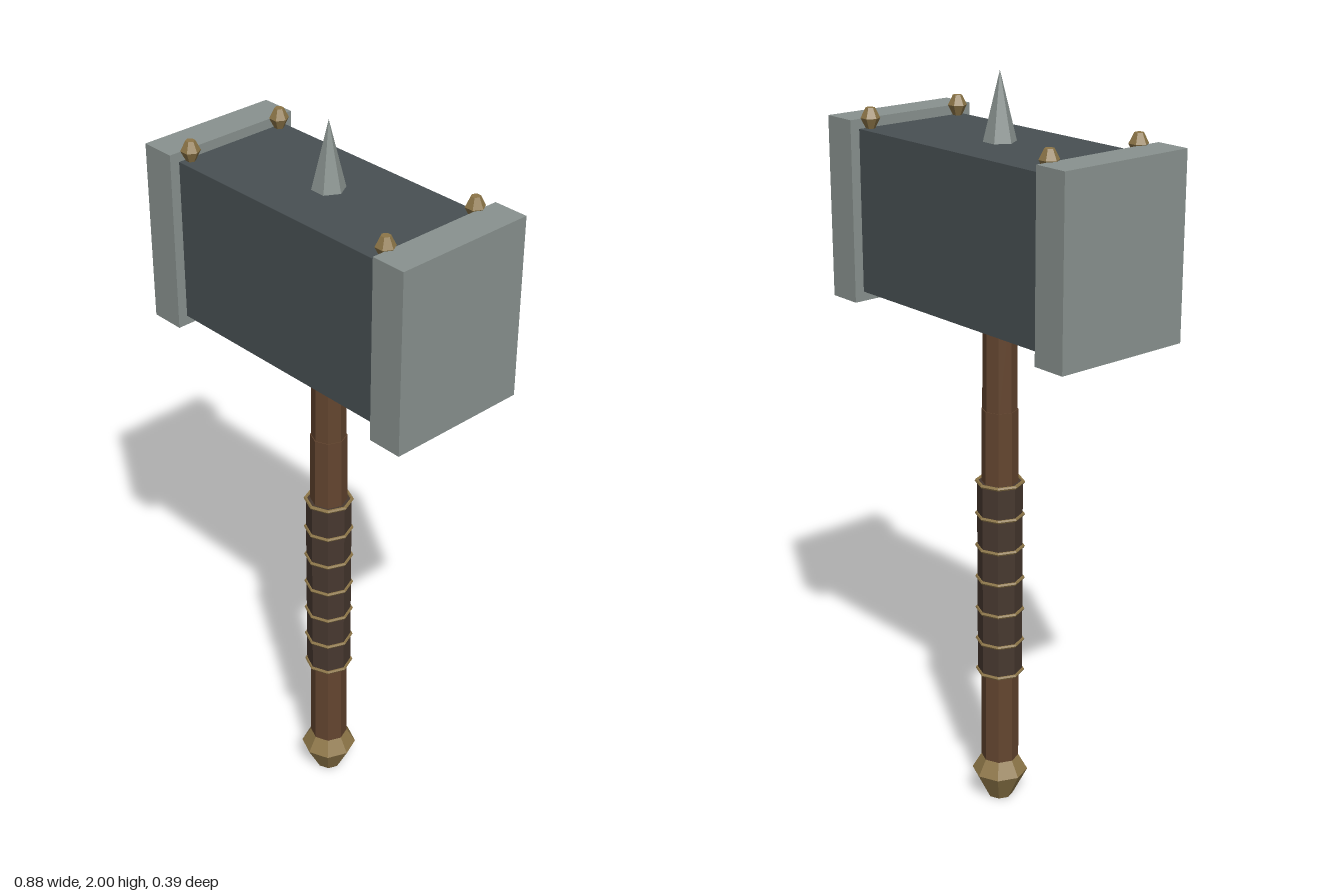
import * as THREE from 'three';

const mat = (name, color) => {
  const m = new THREE.MeshStandardMaterial({ color });
  m.name = name;
  return m;
};

// Split the faces so that each one is shaded flat
function faceted(geometry) {
  const g = geometry.index ? geometry.toNonIndexed() : geometry;
  g.computeVertexNormals();
  return g;
}

const lathe = (profile, sides) =>
  new THREE.LatheGeometry(profile.map(([r, y]) => new THREE.Vector2(r, y)), sides);

export function createModel() {
  const model = new THREE.Group();
  model.name = 'warHammer';

  const iron = mat('dark iron', 0x485053);
  const steel = mat('pale steel', 0x89928f);
  const wood = mat('brown wood', 0x63452f);
  const leather = mat('dark leather', 0x47382f);
  const brass = mat('aged brass', 0x8d7648);

  const add = (name, geometry, material, x = 0, y = 0, z = 0) => {
    const mesh = new THREE.Mesh(faceted(geometry), material);
    mesh.name = name;
    mesh.position.set(x, y, z);
    model.add(mesh);
    return mesh;
  };

  // Head block with a larger striking plate at each end
  add('headBlock', new THREE.BoxGeometry(0.694, 0.422, 0.333), iron, 0, 1.617, 0);
  for (const side of [1, -1]) {
    add(side > 0 ? 'leftStrikingPlate' : 'rightStrikingPlate',
      new THREE.BoxGeometry(0.094, 0.472, 0.386), steel, side * 0.394, 1.617, 0);
  }

  // Spike on top of the head
  add('topSpike', new THREE.ConeGeometry(0.043, 0.175, 6), steel, 0, 1.9125, 0).rotation.y = Math.PI / 6;

  // Rivets at the four upper corners
  const rivet = [[0, -0.026], [0.012, -0.026], [0.025, 0], [0.012, 0.026], [0, 0.026]];
  for (const x of [-0.333, 0.333]) {
    for (const z of [-0.141, 0.141]) {
      add('cornerRivet', lathe(rivet, 6), brass, x, 1.855, z).rotation.y = Math.PI / 6;
    }
  }

  // Shaft, slimmer above the step
  add('lowerShaft', new THREE.CylinderGeometry(0.048, 0.051, 1.04, 8), wood, 0, 0.62, 0);
  add('upperShaft', new THREE.CylinderGeometry(0.043, 0.046, 0.32, 8), wood, 0, 1.28, 0);

  // Wrapped grip with evenly spaced brass bands
  add('grip', new THREE.CylinderGeometry(0.06, 0.06, 0.55, 8), leather, 0, 0.665, 0);
  for (let i = 0; i < 7; i++) {
    add('gripBand', new THREE.TorusGeometry(0.061, 0.005, 6, 8), brass, 0, 0.39 + i * 0.0915, 0)
      .rotation.x = Math.PI / 2;
  }

  // Pommel
  add('pommel', lathe([[0, 0], [0.035, 0], [0.076, 0.08], [0.05, 0.125], [0, 0.125]], 8), brass);

  return model;
}
